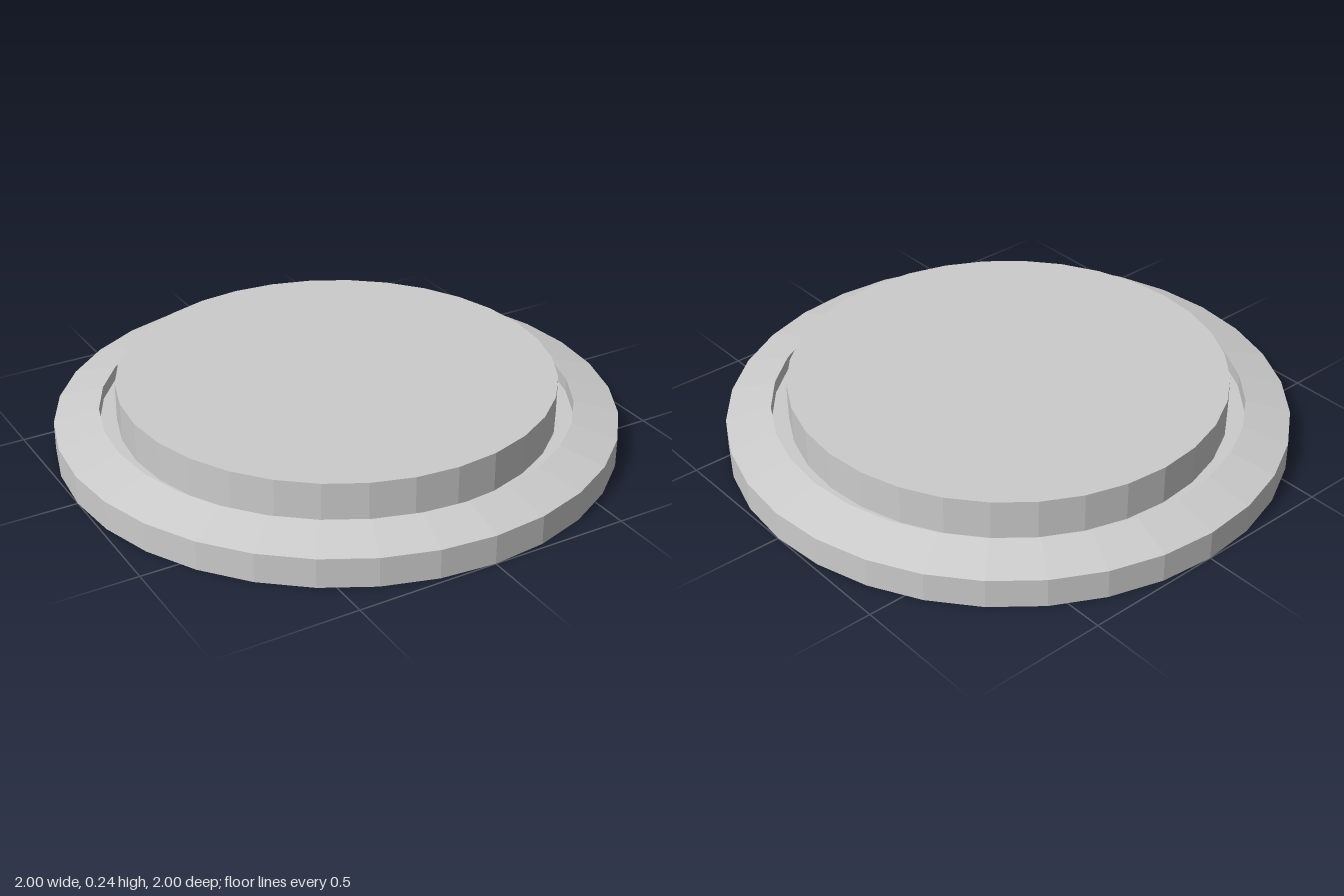
import * as THREE from 'three';

const SIDES = 32;
const material = new THREE.MeshStandardMaterial({ color: 0xcccccc, flatShading: true });

// Spins a profile of [radius, height] points around the y axis.
function turned(name, profile) {
  const points = profile.map(([r, y]) => new THREE.Vector2(r, y));
  const mesh = new THREE.Mesh(new THREE.LatheGeometry(points, SIDES), material);
  mesh.name = name;
  return mesh;
}

export function createModel() {
  const group = new THREE.Group();
  group.name = 'roundButton';

  // Housing: flat underside, upright edge, sloped bezel and a groove floor inside it
  group.add(turned('bezelBase', [
    [0, 0], [1, 0], [1, 0.105], [0.84, 0.147], [0.84, 0.1], [0.78, 0.1],
  ]));

  // Raised cap standing in the groove
  group.add(turned('cap', [[0.78, 0.1], [0.78, 0.242], [0, 0.242]]));

  return group;
}
